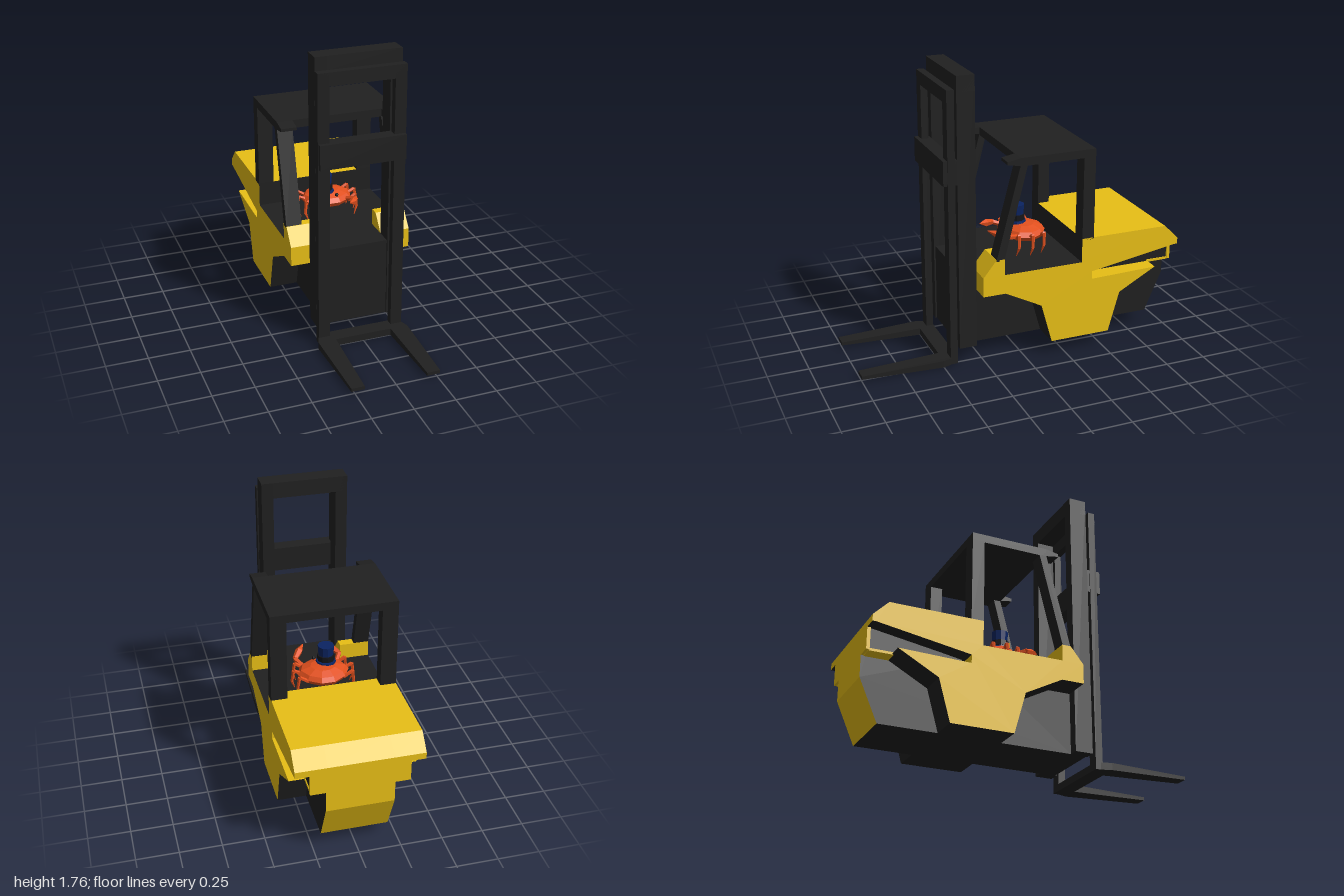
import * as THREE from 'three';

const material = (color) =>
  new THREE.MeshStandardMaterial({ color, flatShading: true, side: THREE.DoubleSide });
const YELLOW = material(0xe8bf16);
const DARK = material(0x202020);
const ORANGE = material(0xe2501e);
const BLUE = material(0x0b2462);
const BLACK = material(0x151518);
const GOLD = material(0xc9a030);

export function createModel() {
  const root = new THREE.Group();
  root.name = 'forklift';

  const add = (name, geometry, mat, parent = root) => {
    const mesh = new THREE.Mesh(geometry, mat);
    mesh.name = name;
    parent.add(mesh);
    return mesh;
  };

  // Box given by its limits on each axis
  const box = (name, [x0, x1], [y0, y1], [z0, z1], mat = DARK) => {
    const g = new THREE.BoxGeometry(x1 - x0, y1 - y0, z1 - z0);
    g.translate((x0 + x1) / 2, (y0 + y1) / 2, (z0 + z1) / 2);
    return add(name, g, mat);
  };

  const shapeOf = (points) => new THREE.Shape(points.map(([u, v]) => new THREE.Vector2(u, v)));

  // Side profile of (z, y) points extruded across x
  const prism = (x0, x1, profile) => {
    const g = new THREE.ExtrudeGeometry(shapeOf(profile), { depth: x1 - x0, bevelEnabled: false });
    return g.rotateY(-Math.PI / 2).translate(x1, 0, 0);
  };

  // Give each triangle yellow or dark by a rule on its normal and centre
  const twoTone = (name, g, isDark) => {
    const p = g.attributes.position;
    const tri = new THREE.Triangle();
    const n = new THREE.Vector3();
    const c = new THREE.Vector3();
    g.clearGroups();
    for (let i = 0; i < p.count; i += 3) {
      tri.setFromAttributeAndIndices(p, i, i + 1, i + 2);
      tri.getNormal(n);
      tri.getMidpoint(c);
      g.addGroup(i, 3, isDark(n, c) ? 1 : 0);
    }
    add(name, g, [YELLOW, DARK]);
  };

  // Outer body panels with wheel arches and rear notch
  const sideProfile = [
    [0.28, 0.46], [0.28, 0.58], [0.2, 0.68], [0.145, 0.68], [0.145, 0.58], [-0.35, 0.58],
    [-0.35, 0.73], [-0.91, 0.73], [-1, 0.64], [-1, 0.6], [-0.98, 0.6], [-0.42, 0.51],
    [-0.42, 0.46], [-0.85, 0.47], [-0.61, 0.34], [-0.54, 0.09], [-0.16, 0.09],
    [-0.09, 0.34], [0.14, 0.46],
  ];
  const panelDark = (n, c) =>
    Math.abs(n.x) < 0.9 &&
    (n.y < -0.1 || (n.y > 0.9 && c.y > 0.57 && c.y < 0.6) || (n.z > 0.9 && c.z < 0));
  twoTone('leftBodyPanel', prism(0.19, 0.375, sideProfile), panelDark);
  twoTone('rightBodyPanel', prism(-0.375, -0.19, sideProfile), panelDark);

  // Narrow chassis core with the counterweight at the back
  const coreDark = (n, c) => Math.abs(n.x) > 0.9 || (n.z > -0.3 && c.y < 0.72);
  twoTone('chassis', prism(-0.2, 0.2, [
    [0.28, 0.09], [0.28, 0.58], [-0.35, 0.58], [-0.35, 0.73], [-0.91, 0.73],
    [-1, 0.64], [-1, 0.34], [-0.89, 0.09],
  ]), coreDark);
  add('counterweightShoulder', prism(-0.28, 0.28, [
    [-0.44, 0.47], [-0.44, 0.512], [-0.98, 0.605], [-0.98, 0.47],
  ]), DARK);
  box('rearPlate', [-0.29, 0.29], [0.47, 0.61], [-1, -0.98], YELLOW);
  box('rearLip', [-0.285, 0.285], [0.465, 0.48], [-0.985, -0.84], YELLOW);
  box('frontPanel', [-0.19, 0.19], [0.09, 0.58], [0.28, 0.38]);

  // Overhead guard
  box('roof', [-0.375, 0.375], [1.235, 1.285], [-0.425, 0.05]);
  for (const [side, x0, x1] of [['left', 0.28, 0.375], ['right', -0.375, -0.28]]) {
    box(side + 'RearPillar', [x0, x1], [0.72, 1.24], [-0.425, -0.35]);
    add(side + 'FrontPillar', prism(x0, x1, [
      [0.2, 0.67], [0.05, 1.24], [0.005, 1.24], [0.15, 0.67],
    ]), DARK);
    add(side + 'RoofProng', prism(x0, x1, [
      [0.13, 1.252], [0.13, 1.27], [0.05, 1.285], [0.03, 1.285], [0.03, 1.235],
    ]), DARK);
  }

  // Fixed mast and sliding inner mast
  for (const s of [-1, 1]) {
    const span = (a, b) => (s > 0 ? [a, b] : [-b, -a]);
    const side = s > 0 ? 'left' : 'right';
    box(side + 'MastRail', span(0.19, 0.26), [0.09, 1.765], [0.28, 0.39]);
    box(side + 'SlidingRail', span(0.195, 0.265), [0, 1.69], [0.405, 0.45]);
  }
  box('mastTopBar', [-0.26, 0.26], [1.67, 1.765], [0.28, 0.39]);
  box('slidingTopBar', [-0.265, 0.265], [1.61, 1.69], [0.405, 0.45]);
  box('carriageBar', [-0.26, 0.26], [1.13, 1.28], [0.39, 0.475]);

  // Forks in plan, thinned toward the tips
  const half = [[0.255, 0.405], [0.285, 0.5], [0.27, 1], [0.19, 1], [0.175, 0.5]];
  const plan = [...half, ...half.map(([x, z]) => [-x, z]).reverse()];
  const forks = new THREE.ExtrudeGeometry(shapeOf(plan), { depth: 0.045, bevelEnabled: false });
  forks.rotateX(Math.PI / 2).translate(0, 0.045, 0);
  const fp = forks.attributes.position;
  for (let i = 0; i < fp.count; i++) {
    const t = Math.max(0, (fp.getZ(i) - 0.5) / 0.5);
    fp.setY(i, fp.getY(i) > 0.02 ? 0.043 - 0.009 * t : 0.014 * t);
  }
  forks.computeVertexNormals();
  add('forks', forks, DARK);

  // Crab driver
  const crab = new THREE.Group();
  crab.name = 'crab';
  crab.position.set(-0.01, 0.685, -0.13);
  root.add(crab);
  const shell = new THREE.SphereGeometry(1, 10, 6);
  const sp = shell.attributes.position;
  for (let i = 0; i < sp.count; i++) {
    const taper = 1 - 0.18 * Math.max(0, -sp.getZ(i));
    sp.setXYZ(i, sp.getX(i) * 0.16 * taper, sp.getY(i) * 0.055, sp.getZ(i) * 0.135);
  }
  add('crabShell', shell, ORANGE, crab);

  // Tapered limb segment between two points
  const limb = (name, a, b, r0, r1) => {
    const from = new THREE.Vector3(...a);
    const dir = new THREE.Vector3(...b).sub(from);
    const mesh = add(name, new THREE.CylinderGeometry(r1, r0, dir.length(), 5), ORANGE, crab);
    mesh.position.copy(from).addScaledVector(dir, 0.5);
    mesh.quaternion.setFromUnitVectors(new THREE.Vector3(0, 1, 0), dir.normalize());
  };
  for (const s of [-1, 1]) {
    for (const z of [0.09, 0.01, -0.07]) {
      const reach = 0.185 - Math.abs(z) * 0.3;
      limb('upperLeg', [s * 0.11, -0.01, z], [s * reach, 0.025, z], 0.012, 0.011);
      limb('lowerLeg', [s * reach, 0.025, z], [s * (reach + 0.01), -0.05, z + 0.005], 0.011, 0.009);
      limb('legTip', [s * (reach + 0.01), -0.05, z + 0.005], [s * (reach - 0.01), -0.105, z + 0.015], 0.009, 0.002);
    }
    limb('clawArm', [s * 0.1, 0, 0.08], [s * 0.14, 0.02, 0.15], 0.014, 0.016);
    limb('claw', [s * 0.14, 0.02, 0.15], [s * 0.1, 0.035, 0.21], 0.016, 0.024);
    limb('clawTip', [s * 0.1, 0.035, 0.21], [s * 0.065, 0.05, 0.258], 0.024, 0.003);
    const eye = add('eye', new THREE.SphereGeometry(0.012, 6, 4), BLACK, crab);
    eye.position.set(s * 0.035, 0.042, 0.1);
  }

  // Buckled hat
  const hat = new THREE.Group();
  hat.name = 'hat';
  hat.position.set(-0.025, 0.055, 0.035);
  crab.add(hat);
  const ring = (name, top, bottom, height, y, mat) => {
    add(name, new THREE.CylinderGeometry(top, bottom, height, 10), mat, hat).position.y = y;
  };
  ring('hatBrim', 0.06, 0.062, 0.012, 0, BLUE);
  ring('hatCrown', 0.05, 0.042, 0.105, 0.055, BLUE);
  ring('hatBand', 0.053, 0.053, 0.035, 0.028, BLACK);
  const buckle = new THREE.TorusGeometry(0.024, 0.005, 4, 4).rotateZ(Math.PI / 4);
  add('hatBuckle', buckle, GOLD, hat).position.set(0, 0.028, 0.054);

  return root;
}
